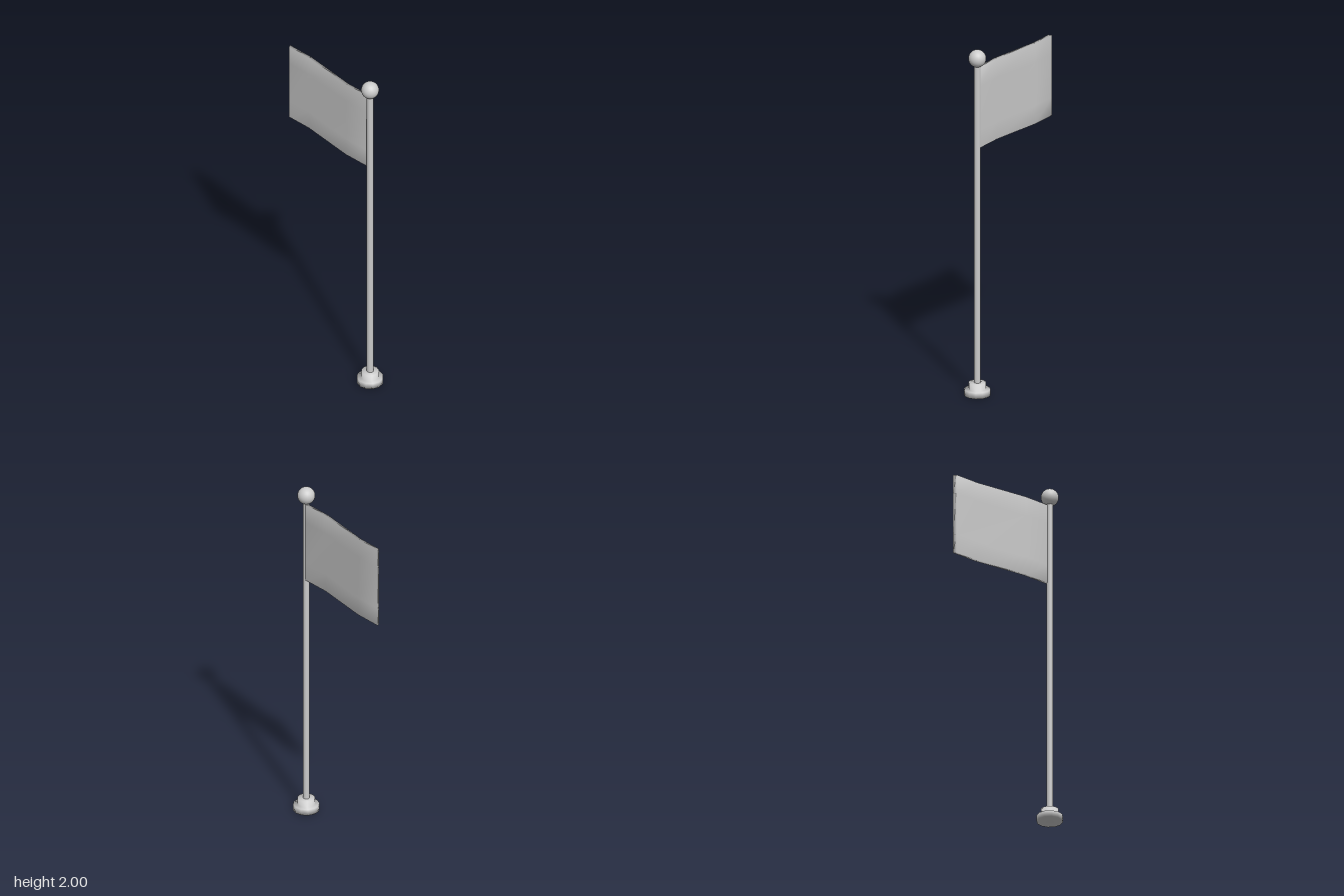
import * as THREE from 'three';
import { mergeVertices } from 'three/addons/utils/BufferGeometryUtils.js';

const POLE_X = 0.293;

export function createModel() {
  const group = new THREE.Group();
  const material = new THREE.MeshStandardMaterial({ color: 0xcccccc });

  function add(name, geometry, x = 0, y = 0) {
    const mesh = new THREE.Mesh(geometry, material);
    mesh.name = name;
    mesh.position.set(x, y, 0);
    group.add(mesh);
  }

  // Stepped round foot with soft shading
  const profile = [[0, 0], [0.073, 0], [0.073, 0.035], [0.049, 0.035], [0.049, 0.073], [0, 0.073]];
  add('base', new THREE.LatheGeometry(profile.map(([r, y]) => new THREE.Vector2(r, y)), 12), POLE_X);

  // Pole and ball finial
  add('pole', new THREE.CylinderGeometry(0.019, 0.019, 1.88, 12), POLE_X, 1.0);
  add('finial', new THREE.SphereGeometry(0.049, 24, 16), POLE_X, 1.951);

  // Waving flag: a thin slab whose columns follow a shallow wave
  const columns = [[-0.363, -0.003], [-0.206, -0.013], [0.115, 0.007], [0.285, -0.005]];
  const rows = [1.433, 1.54, 1.79, 1.9];
  const slab = new THREE.BoxGeometry(3, 3, 0.018, 3, 3, 1);
  slab.deleteAttribute('uv');
  slab.deleteAttribute('normal');
  const flag = mergeVertices(slab);
  const p = flag.attributes.position;
  for (let i = 0; i < p.count; i++) {
    const c = Math.round(p.getX(i) + 1.5);
    const z = p.getZ(i);
    // The free end is cut on a slant
    const slant = c === 0 ? Math.sign(z) * 0.0055 : 0;
    p.setXYZ(i, columns[c][0] + slant, rows[Math.round(p.getY(i) + 1.5)], columns[c][1] + z);
  }
  flag.computeVertexNormals();
  add('flag', flag);

  return group;
}
